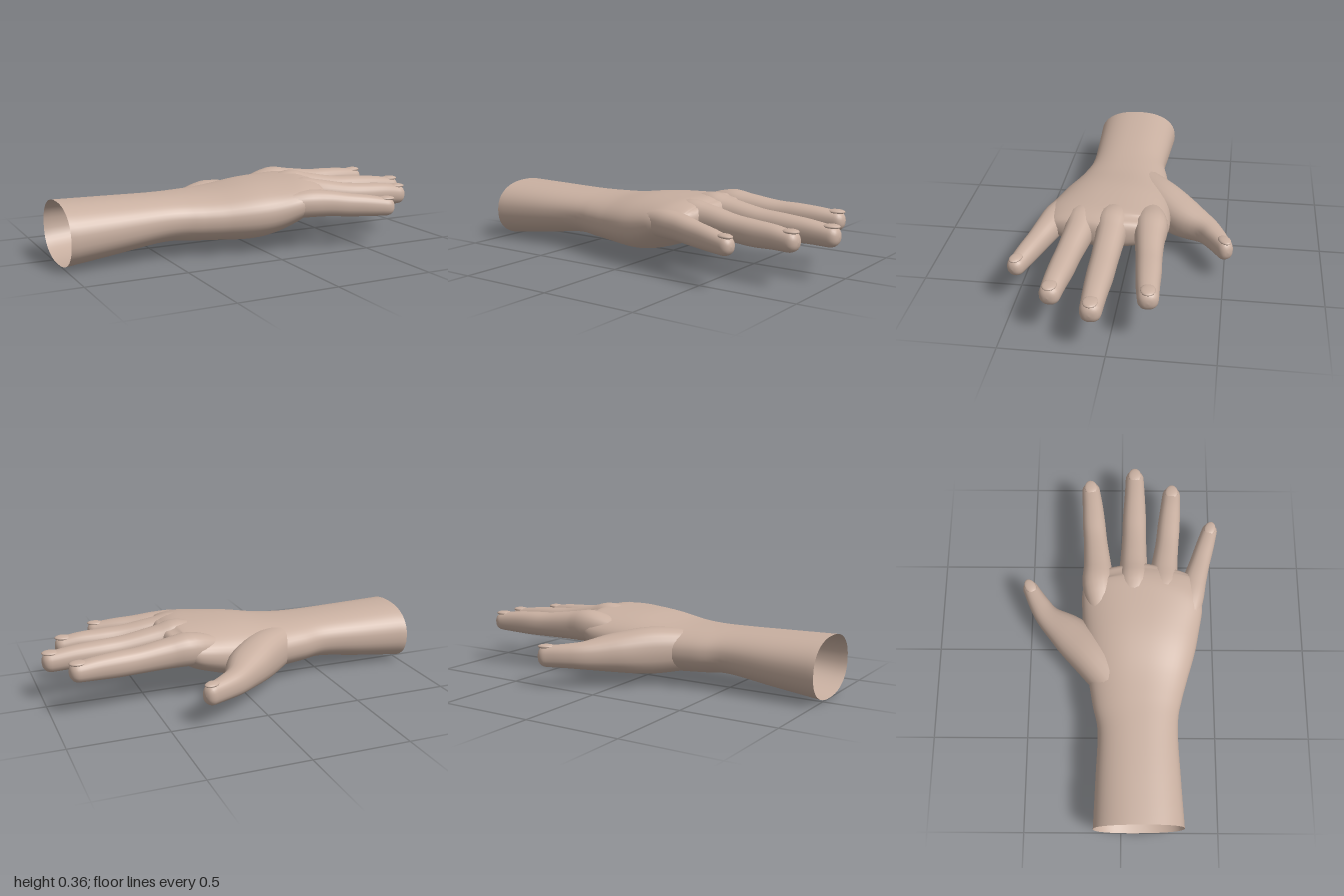
import * as THREE from 'three';

const skin = new THREE.MeshStandardMaterial({ color: 0xc9b0a1, roughness: 0.8, side: THREE.DoubleSide });

// Lofts superelliptic rings along a spine of [x, y, z, halfWidth, halfHeight],
// then closes the far end with a rounded cap of length tip.
function loft(name, spine, { steps = 24, sides = 24, power = 2, tip = 0.05, warp } = {}) {
  const path = new THREE.CatmullRomCurve3(spine.map(s => new THREE.Vector3(s[0], s[1], s[2])), false, 'catmullrom');
  const size = new THREE.CatmullRomCurve3(spine.map(s => new THREE.Vector3(s[3], s[4], 0)), false, 'catmullrom');
  const positions = [], index = [];
  let rings = 0;
  const addRing = (c, t, w, h) => {
    for (let j = 0; j < sides; j++) {
      const a = (j / sides) * Math.PI * 2, ca = Math.cos(a), sa = Math.sin(a);
      const u = Math.sign(ca) * Math.abs(ca) ** (2 / power) * w;
      const v = Math.sign(sa) * Math.abs(sa) ** (2 / power) * h;
      const p = new THREE.Vector3(c.x - t.z * u, c.y + v, c.z + t.x * u);
      if (warp) warp(p);
      positions.push(p.x, p.y, p.z);
    }
    rings++;
  };
  const heading = k => path.getTangent(k).setY(0).normalize();
  for (let i = 0; i <= steps; i++) {
    const k = i / steps, s = size.getPoint(k);
    addRing(path.getPoint(k), heading(k), s.x, s.y);
  }
  const end = path.getPoint(1), dir = heading(1), last = size.getPoint(1);
  for (let i = 1; i <= 6; i++) {
    const a = (i / 6) * Math.PI / 2, r = Math.max(Math.cos(a) ** 0.8, 0.001);
    addRing(end.clone().addScaledVector(dir, tip * Math.sin(a)), dir, last.x * r, last.y * r);
  }
  for (let i = 0; i < rings - 1; i++) {
    for (let j = 0; j < sides; j++) {
      const a = i * sides + j, b = i * sides + (j + 1) % sides;
      index.push(a, a + sides, b, b, a + sides, b + sides);
    }
  }
  const geometry = new THREE.BufferGeometry();
  geometry.setAttribute('position', new THREE.Float32BufferAttribute(positions, 3));
  geometry.setIndex(index);
  geometry.computeVertexNormals();
  const mesh = new THREE.Mesh(geometry, skin);
  mesh.name = name;
  return mesh;
}

// A finger with a shallow nail lying on its last joint
function finger(name, spine) {
  const group = new THREE.Group();
  group.name = name;
  group.add(loft(name + 'Flesh', spine, { power: 2.3, tip: 0.045 }));
  const [a, b] = spine.slice(-2);
  const nail = new THREE.Mesh(new THREE.SphereGeometry(1, 16, 10), skin);
  nail.name = name + 'Nail';
  nail.scale.set(0.045, 0.012, b[3] * 0.7);
  nail.position.set(b[0], b[1] + b[4] - 0.004, b[2]);
  nail.rotation.y = -Math.atan2(b[2] - a[2], b[0] - a[0]);
  group.add(nail);
  return group;
}

export function createModel() {
  const hand = new THREE.Group();
  hand.name = 'hand';

  // Open forearm, wrist and palm; the knuckle line slants back to the little finger
  hand.add(loft('forearmAndPalm', [
    [-1, 0.155, 0.09, 0.23, 0.155],
    [-0.75, 0.168, 0.087, 0.217, 0.137],
    [-0.5, 0.182, 0.085, 0.207, 0.118],
    [-0.35, 0.178, 0.08, 0.233, 0.122],
    [-0.2, 0.178, 0.085, 0.265, 0.13],
    [0, 0.19, 0.1, 0.303, 0.145],
    [0.2, 0.222, 0.108, 0.322, 0.122],
    [0.3, 0.243, 0.108, 0.312, 0.1],
    [0.36, 0.25, 0.1, 0.29, 0.075],
  ], {
    steps: 48, sides: 48, power: 2.3, tip: 0.04,
    warp: p => {
      const k = THREE.MathUtils.smoothstep(p.x, 0, 0.35);
      p.x -= k * 0.28 * Math.max(0, p.z - 0.1);
    },
  }));

  // Four fingers, each rooted inside the palm and swelling at the knuckle
  hand.add(finger('indexFinger', [
    [0.08, 0.23, -0.09, 0.06, 0.06],
    [0.27, 0.258, -0.125, 0.085, 0.084],
    [0.4, 0.252, -0.133, 0.074, 0.076],
    [0.55, 0.242, -0.146, 0.064, 0.066],
    [0.66, 0.24, -0.156, 0.062, 0.064],
    [0.77, 0.238, -0.165, 0.056, 0.058],
    [0.86, 0.235, -0.175, 0.05, 0.05],
  ]));
  hand.add(finger('middleFinger', [
    [0.08, 0.24, 0.07, 0.06, 0.06],
    [0.28, 0.268, 0.065, 0.085, 0.087],
    [0.4, 0.255, 0.063, 0.074, 0.078],
    [0.57, 0.234, 0.066, 0.066, 0.068],
    [0.7, 0.226, 0.068, 0.064, 0.066],
    [0.83, 0.222, 0.07, 0.057, 0.059],
    [0.95, 0.212, 0.07, 0.051, 0.052],
  ]));
  hand.add(finger('ringFinger', [
    [0.08, 0.23, 0.2, 0.06, 0.06],
    [0.25, 0.257, 0.22, 0.082, 0.083],
    [0.38, 0.247, 0.228, 0.072, 0.076],
    [0.53, 0.23, 0.246, 0.063, 0.066],
    [0.65, 0.222, 0.258, 0.061, 0.064],
    [0.76, 0.22, 0.268, 0.055, 0.058],
    [0.845, 0.212, 0.275, 0.05, 0.051],
  ]));
  hand.add(finger('littleFinger', [
    [0.02, 0.22, 0.32, 0.06, 0.06],
    [0.2, 0.235, 0.362, 0.073, 0.07],
    [0.32, 0.232, 0.393, 0.064, 0.066],
    [0.43, 0.22, 0.425, 0.055, 0.06],
    [0.53, 0.212, 0.455, 0.05, 0.055],
    [0.625, 0.203, 0.483, 0.043, 0.047],
  ]));

  // Thumb spreading out from a broad fleshy base
  hand.add(finger('thumb', [
    [-0.32, 0.18, 0.02, 0.1, 0.1],
    [-0.12, 0.175, -0.14, 0.11, 0.12],
    [0.02, 0.17, -0.27, 0.105, 0.1],
    [0.12, 0.165, -0.39, 0.068, 0.073],
    [0.2, 0.163, -0.447, 0.055, 0.062],
    [0.29, 0.16, -0.497, 0.042, 0.055],
  ]));

  return hand;
}
